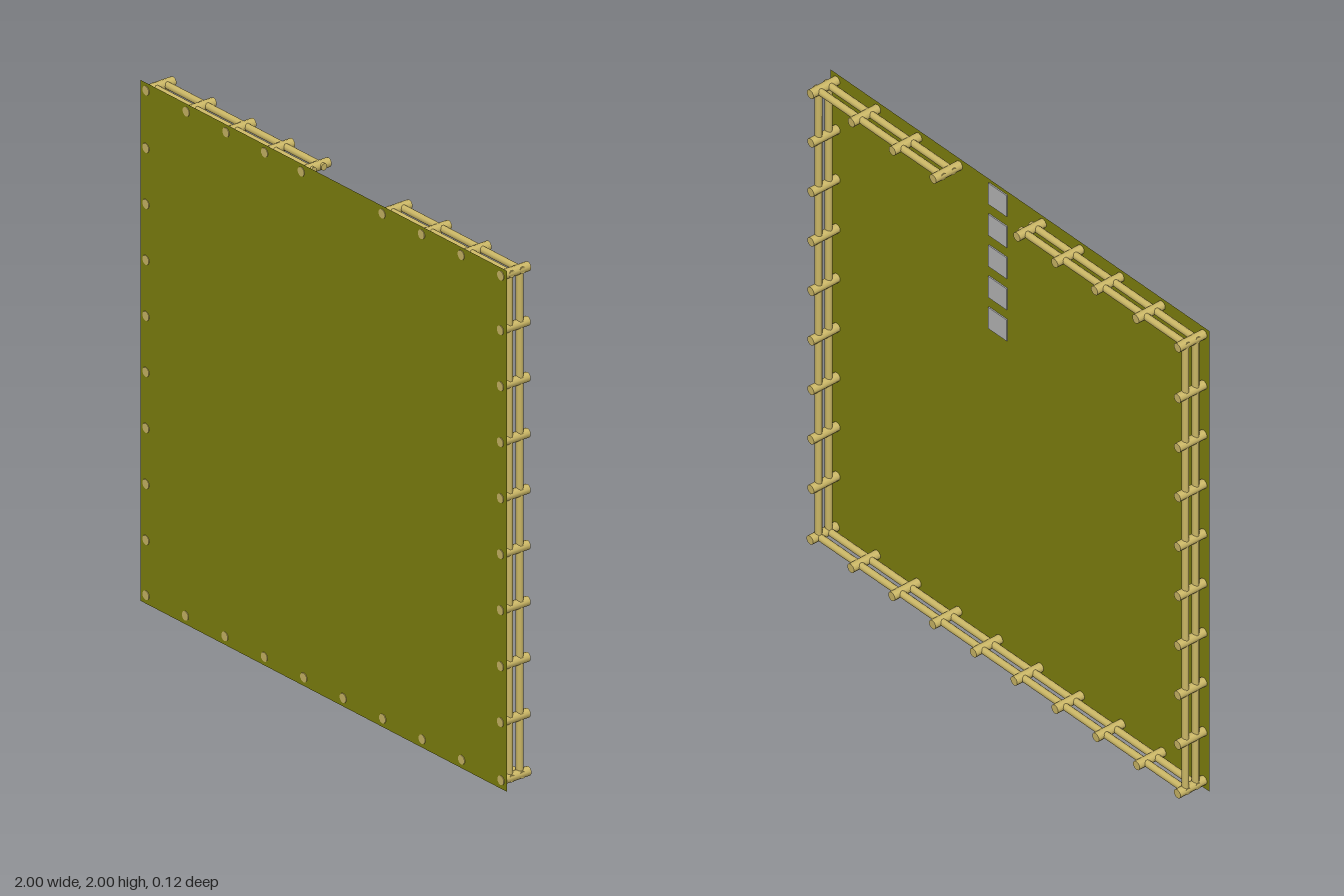
import * as THREE from 'three';

export function createModel() {
  const model = new THREE.Group();
  model.name = 'fencedField';
  const grass = new THREE.MeshStandardMaterial({ color: 0x80820e, side: THREE.DoubleSide });
  grass.name = 'olive grass';
  const wood = new THREE.MeshStandardMaterial({ color: 0xccb866 });
  wood.name = 'pale wood';
  const stone = new THREE.MeshStandardMaterial({ color: 0xb8b8b8 });
  stone.name = 'grey stone';

  const add = (name, geometry, material, x, y, z, parent = model) => {
    const mesh = new THREE.Mesh(geometry, material);
    mesh.name = name;
    mesh.position.set(x, y, z);
    parent.add(mesh);
    return mesh;
  };

  // Flat field, standing on its edge
  add('field', new THREE.PlaneGeometry(2, 2), grass, 0, 1, 0.0595);

  // Row of stepping stones leading in from the gate gap
  const slab = new THREE.BoxGeometry(0.097, 0.092, 0.005);
  for (let i = 0; i < 5; i++) add('steppingStone', slab, stone, 0.113, 1.94 - 0.135 * i, 0.0565);

  // Fence posts, poking slightly through the field
  const postGeometry = new THREE.CylinderGeometry(0.018, 0.018, 0.124, 10).rotateX(Math.PI / 2);
  const posts = new THREE.Group();
  posts.name = 'fencePosts';
  model.add(posts);
  const post = (x, y) => add('post', postGeometry, wood, x, y, 0, posts);
  for (let i = 0; i < 10; i++) post(-0.97 + i * 0.2155, 0.033);
  for (let i = 1; i < 9; i++) {
    post(-0.97, 0.03 + i * 0.215);
    post(0.966, 0.04 + i * 0.215);
  }
  for (const x of [-0.97, -0.75, -0.533, -0.322, -0.122, 0.32, 0.535, 0.752, 0.968]) post(x, 1.97);

  // Paired rails along each run of fence
  const rails = new THREE.Group();
  rails.name = 'fenceRails';
  model.add(rails);
  const rail = (x1, y1, x2, y2) => {
    const length = Math.hypot(x2 - x1, y2 - y1);
    const geometry = new THREE.CylinderGeometry(0.0135, 0.0135, length, 10);
    for (const z of [0.022, -0.025]) {
      const mesh = add('rail', geometry, wood, (x1 + x2) / 2, (y1 + y2) / 2, z, rails);
      mesh.rotation.z = Math.atan2(y2 - y1, x2 - x1) - Math.PI / 2;
    }
  };
  rail(-0.985, 0.033, 0.985, 0.033);
  rail(-0.97, 0.02, -0.97, 1.98);
  rail(0.967, 0.02, 0.967, 1.98);
  rail(-0.985, 1.97, -0.1, 1.97);
  rail(0.305, 1.97, 0.985, 1.97);

  return model;
}
